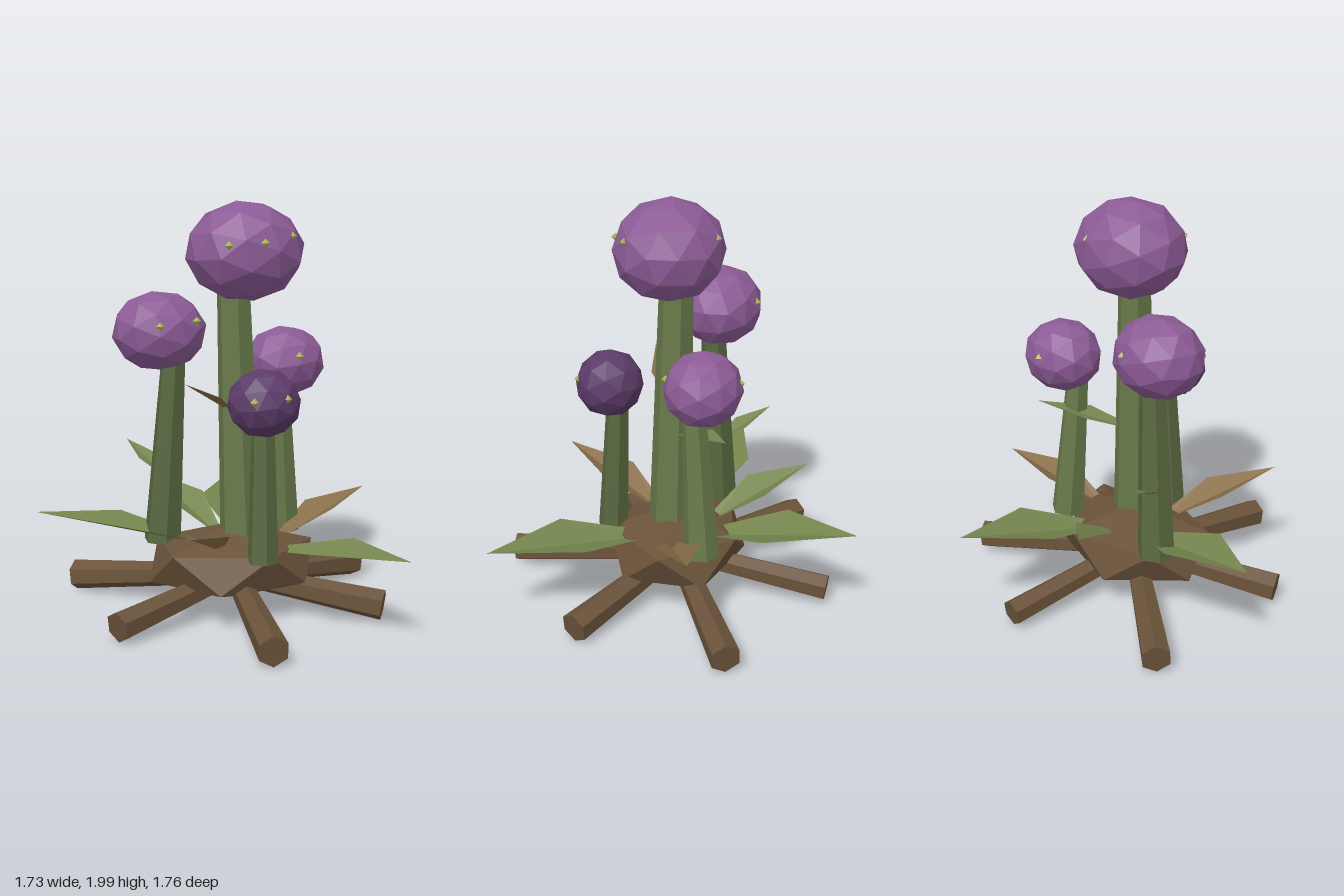
import * as THREE from 'three';
import { ConvexGeometry } from 'three/addons/geometries/ConvexGeometry.js';

const V = (a) => new THREE.Vector3(...a);
const mat = (color, side = THREE.FrontSide) =>
  new THREE.MeshStandardMaterial({ color, flatShading: true, side });

const stemMat = mat(0x68794a);
const darkStemMat = mat(0x58683f);
const headMat = mat(0x8c5b96);
const darkHeadMat = mat(0x5c3b69);
const greenLeaf = mat(0x75864f, THREE.DoubleSide);
const brownLeaf = mat(0x876d47, THREE.DoubleSide);
const moundMat = mat(0x6a523a);
const rootMat = mat(0x6a523a);
const seedMat = mat(0xa9b255);

export function createModel() {
  const root = new THREE.Group();
  root.name = 'flowerCluster';

  const add = (name, geometry, material, parent = root) => {
    const mesh = new THREE.Mesh(geometry, material);
    mesh.name = name;
    parent.add(mesh);
    return mesh;
  };

  // Tapered prism between two points
  const prism = (name, from, to, r0, r1, material, parent) => {
    const a = V(from), b = V(to), dir = b.clone().sub(a);
    const mesh = add(name, new THREE.CylinderGeometry(r1, r0, dir.length(), 6), material, parent);
    mesh.position.copy(a).add(b).multiplyScalar(0.5);
    mesh.quaternion.setFromUnitVectors(new THREE.Vector3(0, 1, 0), dir.normalize());
    return mesh;
  };

  // Folded kite-shaped leaf: raised edges around a lower midrib
  const leaf = (name, from, to, halfWidth, lift, material, parent) => {
    const base = V(from), tip = V(to);
    const side = tip.clone().sub(base).cross(new THREE.Vector3(0, 1, 0)).normalize();
    const mid = base.clone().lerp(tip, 0.44);
    const edge = (p, w, h) => p.clone().addScaledVector(side, w).add(new THREE.Vector3(0, h, 0));
    const points = [
      base, tip, mid,
      edge(mid, -halfWidth, lift), edge(mid, halfWidth, lift),
      edge(base, -halfWidth * 0.3, lift * 0.4), edge(base, halfWidth * 0.3, lift * 0.4),
    ];
    const geometry = new THREE.BufferGeometry().setFromPoints(points);
    geometry.setIndex([0, 2, 3, 0, 3, 5, 2, 1, 3, 0, 4, 2, 0, 6, 4, 2, 4, 1]);
    const flat = geometry.toNonIndexed();
    flat.computeVertexNormals();
    add(name, flat, material, parent);
  };

  // Mound: two offset rings of five with a top and bottom point
  const moundPoints = [new THREE.Vector3(0, 0.19, 0), new THREE.Vector3(0, -0.19, 0)];
  for (let i = 0; i < 10; i++) {
    const a = (i * Math.PI) / 5;
    moundPoints.push(new THREE.Vector3(0.405 * Math.cos(a), i % 2 ? -0.085 : 0.085, 0.33 * Math.sin(a)));
  }
  add('mound', new ConvexGeometry(moundPoints), moundMat).position.set(0.075, 0.262, 0.028);

  // Radiating roots: outer end x, z and outer radius
  const roots = new THREE.Group();
  roots.name = 'roots';
  root.add(roots);
  for (const [x, z, r] of [
    [0.065, 0.87, 0.075], [0.115, -0.725, 0.065], [0.83, -0.37, 0.075],
    [0.74, 0.37, 0.075], [-0.55, 0.41, 0.075], [-0.63, -0.45, 0.075],
  ]) {
    prism('root', [0.09, 0.19, 0.03], [x, 0.09, z], 0.052, r, rootMat, roots);
  }

  // Flowers: stem, faceted head and small seeds on the head
  const flowers = [
    { name: 'tallFlower', foot: [0.12, 0.33, 0.055], top: [0.08, 1.65, 0.03], r: [0.108, 0.08],
      head: [0.132, 1.767, 0.05], size: [0.285, 0.238, 0.262], stem: stemMat, bulb: headMat,
      seeds: [[0.005, 1.81, 0.27], [0.17, 1.82, 0.29], [0.32, 1.845, 0.21], [0.175, 1.845, -0.18]] },
    { name: 'rightFlower', foot: [0.385, 0.35, -0.16], top: [0.345, 1.12, -0.11], r: [0.085, 0.054],
      head: [0.39, 1.206, -0.165], size: [0.2, 0.176, 0.184], stem: stemMat, bulb: headMat,
      seeds: [[0.42, 1.25, 0], [0.365, 1.24, -0.33]] },
    { name: 'leftFlower', foot: [-0.24, 0.34, -0.11], top: [-0.185, 1.26, -0.09], r: [0.094, 0.06],
      head: [-0.25, 1.38, -0.11], size: [0.23, 0.194, 0.205], stem: darkStemMat, bulb: headMat,
      seeds: [[-0.28, 1.425, 0.08], [-0.095, 1.44, 0.03], [-0.21, 1.42, -0.295]] },
    { name: 'frontFlower', foot: [0.155, 0.33, 0.335], top: [0.16, 1.02, 0.3], r: [0.075, 0.054],
      head: [0.153, 1.092, 0.34], size: [0.174, 0.162, 0.161], stem: darkStemMat, bulb: darkHeadMat,
      seeds: [[0.075, 1.12, 0.475], [0.23, 1.13, 0.47]] },
  ];
  flowers.forEach((f, i) => {
    const group = new THREE.Group();
    group.name = f.name;
    root.add(group);
    prism('stem', f.foot, f.top, f.r[0], f.r[1], f.stem, group);
    const ball = new THREE.IcosahedronGeometry(1, 1).rotateY(0.4 + i * 1.3).rotateZ(0.15);
    ball.scale(...f.size);
    add('head', ball, f.bulb, group).position.set(...f.head);
    for (const p of f.seeds) {
      add('seed', new THREE.OctahedronGeometry(0.021), seedMat, group).position.set(...p);
    }
  });

  // Leaves around the mound
  const leaves = new THREE.Group();
  leaves.name = 'leaves';
  root.add(leaves);
  for (const [from, to, w, material] of [
    [[0.16, 0.34, -0.17], [0.29, 0.49, -0.88], 0.18, greenLeaf],
    [[0.03, 0.36, -0.15], [-0.22, 0.585, -0.565], 0.12, greenLeaf],
    [[-0.12, 0.35, -0.03], [-0.86, 0.52, -0.11], 0.165, greenLeaf],
    [[0.25, 0.33, 0.18], [0.725, 0.425, 0.785], 0.18, greenLeaf],
    [[0.34, 0.35, 0.0], [0.82, 0.54, -0.19], 0.11, brownLeaf],
    [[-0.02, 0.35, 0.15], [-0.26, 0.56, 0.675], 0.11, brownLeaf],
  ]) {
    leaf('groundLeaf', from, to, w, 0.05, material, leaves);
  }

  // Small leaves growing from the stems
  for (const [from, to, w, material] of [
    [[-0.22, 0.66, -0.11], [-0.375, 0.81, -0.345], 0.065, greenLeaf],
    [[0.07, 1.0, 0.06], [-0.19, 1.17, 0.2], 0.065, brownLeaf],
    [[0.12, 0.85, 0.02], [0.445, 0.975, -0.285], 0.08, greenLeaf],
  ]) {
    leaf('stemLeaf', from, to, w, 0.02, material, leaves);
  }

  return root;
}
